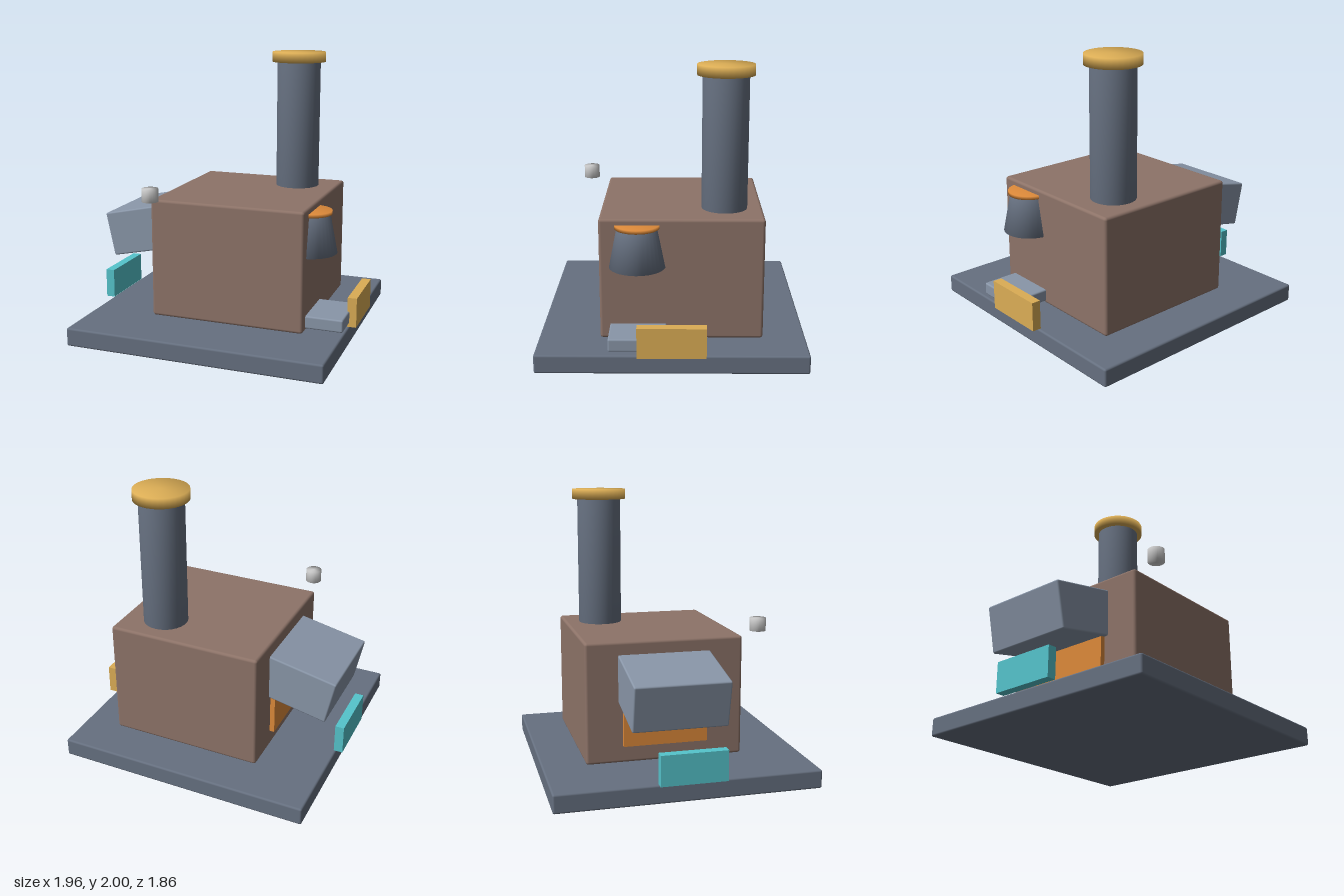
import * as THREE from 'three';
import { RoundedBoxGeometry } from 'three/addons/geometries/RoundedBoxGeometry.js';
import { mergeVertices } from 'three/addons/utils/BufferGeometryUtils.js';

const SLATE = 0x667080, PALE = 0x8996a8, BROWN = 0x8d7368, GOLD = 0xdbad55, ORANGE = 0xdd8a3a, TEAL = 0x55c4cc;

export function createModel() {
  const model = new THREE.Group();

  function add(name, geometry, color, x, y, z) {
    const mesh = new THREE.Mesh(geometry, new THREE.MeshStandardMaterial({ color }));
    mesh.name = name;
    mesh.position.set(x, y, z);
    model.add(mesh);
    return mesh;
  }

  // Box given by its extents; radius 0 keeps sharp edges
  function box(name, color, [x0, x1], [y0, y1], [z0, z1], radius = 0) {
    const size = [x1 - x0, y1 - y0, z1 - z0];
    const geometry = radius ? new RoundedBoxGeometry(...size, 2, radius) : new THREE.BoxGeometry(...size);
    return add(name, geometry, color, (x0 + x1) / 2, (y0 + y1) / 2, (z0 + z1) / 2);
  }

  // Closed cylinder with normals blended over its rims
  function drum(name, color, rTop, rBottom, y0, y1, x, z) {
    let geometry = new THREE.CylinderGeometry(rTop, rBottom, y1 - y0, 32);
    geometry.deleteAttribute('normal');
    geometry.deleteAttribute('uv');
    geometry = mergeVertices(geometry);
    geometry.computeVertexNormals();
    return add(name, geometry, color, x, (y0 + y1) / 2, z);
  }

  // Base and furnace body
  box('basePlate', SLATE, [-0.93, 0.925], [0, 0.132], [-0.93, 0.925], 0.014);
  box('furnaceBody', BROWN, [-0.465, 0.66], [0.14, 1.0], [-0.63, 0.495], 0.02);

  // Chimney with cap
  drum('chimney', SLATE, 0.16, 0.16, 0.95, 1.94, 0.36, -0.365);
  drum('chimneyCap', GOLD, 0.197, 0.197, 1.927, 2.0, 0.36, -0.365);

  // Tilted feed hopper with the fire opening beneath it
  const hopper = add('feedHopper', new RoundedBoxGeometry(0.6, 0.33, 0.66, 2, 0.012), PALE, -0.626, 0.705, -0.07);
  hopper.rotation.z = 0.21;
  box('fireOpening', ORANGE, [-0.5, -0.44], [0.265, 0.7], [-0.37, 0.23]);

  // Crucible half sunk into the side, with glowing contents
  drum('crucible', SLATE, 0.14, 0.195, 0.66, 0.94, 0.63, 0.235);
  drum('moltenTop', ORANGE, 0.155, 0.155, 0.935, 0.96, 0.63, 0.235);

  // Output tray and the port markers on both sides
  box('outputTray', PALE, [0.45, 0.925], [0.16, 0.25], [0.035, 0.425], 0.012);
  box('outputMarker', GOLD, [0.91, 0.975], [0.137, 0.35], [-0.233, 0.23]);
  box('inputMarker', TEAL, [-0.98, -0.915], [0.137, 0.35], [-0.233, 0.23]);

  // Small floating knob
  drum('knob', 0xcccccc, 0.058, 0.058, 1.02, 1.112, -0.402, 0.63);

  return model;
}
